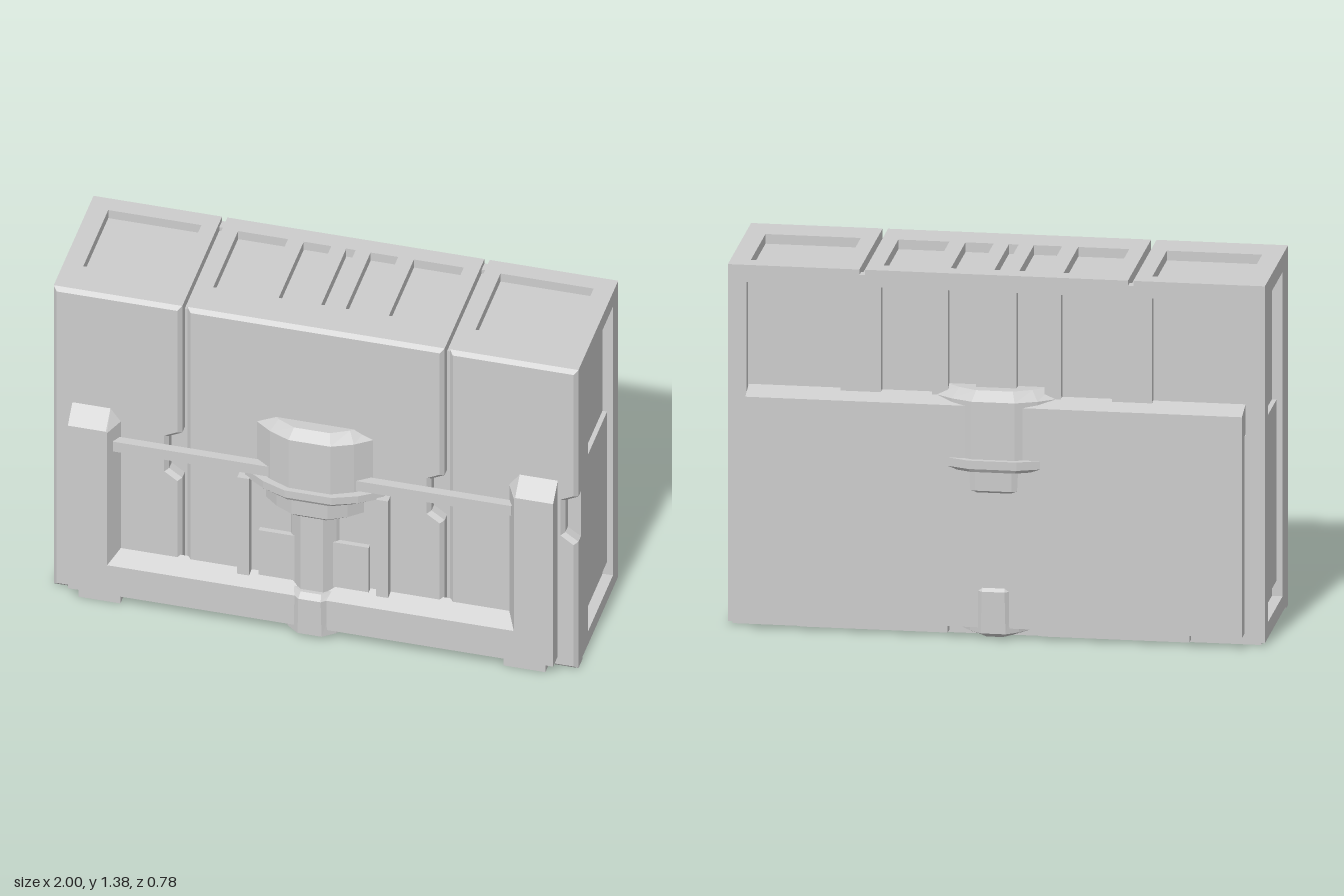
import * as THREE from 'three';

const grey = new THREE.MeshStandardMaterial({ color: 0xcccccc });
grey.name = 'light grey';

// closed outline from [x, y] pairs
const outline = (pts, Type = THREE.Shape) => new Type(pts.map(([x, y]) => new THREE.Vector2(x, y)));
const rect = (x0, x1, y0, y1) => [[x0, y0], [x1, y0], [x1, y1], [x0, y1]];

// flat plate with rectangular openings, extruded along +z
function plate(rectangle, holes, depth) {
  const shape = outline(rect(...rectangle));
  holes.forEach(h => shape.holes.push(outline(rect(...h), THREE.Path)));
  return new THREE.ExtrudeGeometry(shape, { depth, bevelEnabled: false });
}

// box given by its limits
const block = (x0, x1, y0, y1, z0, z1) =>
  new THREE.BoxGeometry(x1 - x0, y1 - y0, z1 - z0).translate((x0 + x1) / 2, (y0 + y1) / 2, (z0 + z1) / 2);

// vertical stack of faceted sections: [height, half width, half depth]
function column(sections) {
  const rings = sections.map(([y, w, d]) => [
    [w, d - 0.09], [w, 0.09 - d], [0.68 * w, 0.035 - d], [0.34 * w, -d],
    [-0.34 * w, -d], [-0.68 * w, 0.035 - d], [-w, 0.09 - d], [-w, d - 0.09],
    [-0.68 * w, d - 0.035], [-0.34 * w, d], [0.34 * w, d], [0.68 * w, d - 0.035],
  ].map(([x, z]) => [x, y, z]));
  const out = [], n = 12, top = rings[rings.length - 1], low = rings[0];
  for (let r = 0; r + 1 < rings.length; r++) {
    for (let i = 0; i < n; i++) {
      const j = (i + 1) % n, a = rings[r], b = rings[r + 1];
      out.push(a[i], a[j], b[j], a[i], b[j], b[i]);
    }
  }
  for (let i = 1; i < n - 1; i++) out.push(top[0], top[i], top[i + 1], low[0], low[i + 1], low[i]);
  const g = new THREE.BufferGeometry();
  g.setAttribute('position', new THREE.Float32BufferAttribute(out.flat(), 3));
  g.computeVertexNormals();
  return g;
}

export function createModel() {
  const model = new THREE.Group();
  model.name = 'case';
  const add = (name, geometry) => {
    const mesh = new THREE.Mesh(geometry, grey);
    mesh.name = name;
    model.add(mesh);
    return mesh;
  };

  // inner body: its faces are the floors of all recesses
  add('core', block(-0.96, 0.96, 0.03, 1.338, -0.255, 0.24));

  // three bevelled front blocks, each with a finger notch in its left-hand edge
  const b = 0.015;
  [[-1, -0.51], [-0.49, 0.49], [0.51, 1]].forEach(([x0, x1]) => {
    const l = x0 + b, r = x1 - b;
    const shape = outline([[l, b], [r, b], [r, 0.575], [r - 0.05, 0.61], [r - 0.05, 0.775],
      [r, 0.8], [r, 1.375 - b], [l, 1.375 - b]]);
    add('frontBlock', new THREE.ExtrudeGeometry(shape, {
      depth: 0.06, bevelThickness: b, bevelSize: b, bevelSegments: 1,
    }).translate(0, 0, 0.215));
  });

  // top plates, separated by two grooves
  const endHole = s => [s > 0 ? 0.57 : -0.925, s > 0 ? 0.925 : -0.57, -0.135, 0.22];
  const slots = [[-0.43, -0.24], [-0.18, -0.075], [-0.018, 0.018], [0.075, 0.18], [0.24, 0.43]];
  [[[-1, -0.51], [endHole(-1)]],
    [[-0.49, 0.49], slots.map(s => [...s, -0.135, 0.22])],
    [[0.51, 1], [endHole(1)]]].forEach(([span, holes]) => {
    add('topPlate', plate([...span, -0.27, 0.29], holes, 0.045).rotateX(-Math.PI / 2).translate(0, 1.33, 0));
  });

  // bottom plate
  add('bottomPlate', plate([-0.985, 0.985, -0.27, 0.28],
    [[-0.93, -0.77, -0.14, 0.22], [0.77, 0.93, -0.14, 0.22]], 0.04).rotateX(-Math.PI / 2));

  // back wall with tall slots above the cover
  const backSlots = [[-0.93, -0.58], ...slots.filter((s, i) => i !== 2), [0.58, 0.93]];
  add('backWall', plate([-1, 1, 0.01, 1.355], backSlots.map(s => [...s, 0.8, 1.31]), 0.04)
    .translate(0, 0, -0.29));

  // side frames with stepped inset panels
  for (const s of [1, -1]) {
    const u = s > 0 ? [-0.24, 0.29] : [-0.29, 0.24];
    const h = s > 0 ? [-0.14, 0.215] : [-0.215, 0.14];
    add('sideFrame', plate([...u, 0.01, 1.372], [[...h, 0.07, 1.31]], 0.04)
      .rotateY(s * Math.PI / 2).translate(s * 0.96, 0, 0));
    add('sideInset', block(-0.01, 0.01, 0.13, 0.822, -0.214, 0.139).translate(s * 0.968, 0, 0));
  }

  // U-shaped front frame, its front edges drawn in to form slopes
  const half = [[0.925, 0.05], [0.925, 0.87], [0.78, 0.87], [0.735, 0.81], [0.735, 0.23]];
  const frame = plate([-1, 1, 0, 1], [], 1) && new THREE.ExtrudeGeometry(
    outline([...half, ...half.map(([x, y]) => [-x, y]).reverse()]), { depth: 0.075, bevelEnabled: false });
  const p = frame.attributes.position;
  for (let i = 0; i < p.count; i++) {
    if (p.getZ(i) < 0.07) continue;
    const x = p.getX(i), y = p.getY(i);
    if (Math.abs(x) < 0.75) p.setX(i, Math.sign(x) * 0.775);
    if (y > 0.8) p.setY(i, y > 0.85 ? 0.8 : 0.795);
    else if (y > 0.2) p.setY(i, 0.185);
  }
  frame.computeVertexNormals();
  add('frontFrame', frame.translate(0, 0, 0.28));

  // back cover with a sloping top edge
  const cover = block(-0.925, 0.925, 0.045, 0.915, -0.358, -0.27);
  const c = cover.attributes.position;
  for (let i = 0; i < c.count; i++) if (c.getZ(i) < -0.3 && c.getY(i) > 0.5) c.setY(i, 0.89);
  cover.computeVertexNormals();
  add('backCover', cover);

  // central latch, passing through front and back
  add('latchDrum', column([[0.51, 0.12, 0.3], [0.57, 0.2, 0.368], [0.65, 0.2, 0.37],
    [0.65, 0.235, 0.37], [0.91, 0.235, 0.37], [0.945, 0.2, 0.335]]));
  add('latchFlange', column([[0.645, 0.24, 0.382], [0.658, 0.265, 0.39], [0.69, 0.265, 0.39]]));
  add('latchStem', column([[0.18, 0.125, 0.335], [0.58, 0.125, 0.335]]));
  add('latchFoot', column([[0.005, 0.09, 0.335], [0.025, 0.135, 0.368], [0.185, 0.125, 0.37],
    [0.205, 0.115, 0.35]]));
  add('latchHousing', block(-0.21, 0.21, 0.22, 0.425, 0.27, 0.31));

  // mirrored front and lower details
  for (const s of [1, -1]) {
    const pair = (name, x, w, y0, y1, z0, z1) =>
      add(name, block(-w / 2, w / 2, y0, y1, z0, z1).translate(s * x, 0, 0));
    pair('latchUpright', 0.265, 0.045, 0.22, 0.665, 0.27, 0.325);
    pair('crossBar', 0.46, 0.6, 0.695, 0.74, 0.295, 0.33);
    pair('frontFoot', 0.81, 0.16, 0.003, 0.06, 0.2, 0.335);
    pair('backLedge', 0.45, 0.55, 0.012, 0.06, -0.33, -0.2);
  }
  return model;
}
